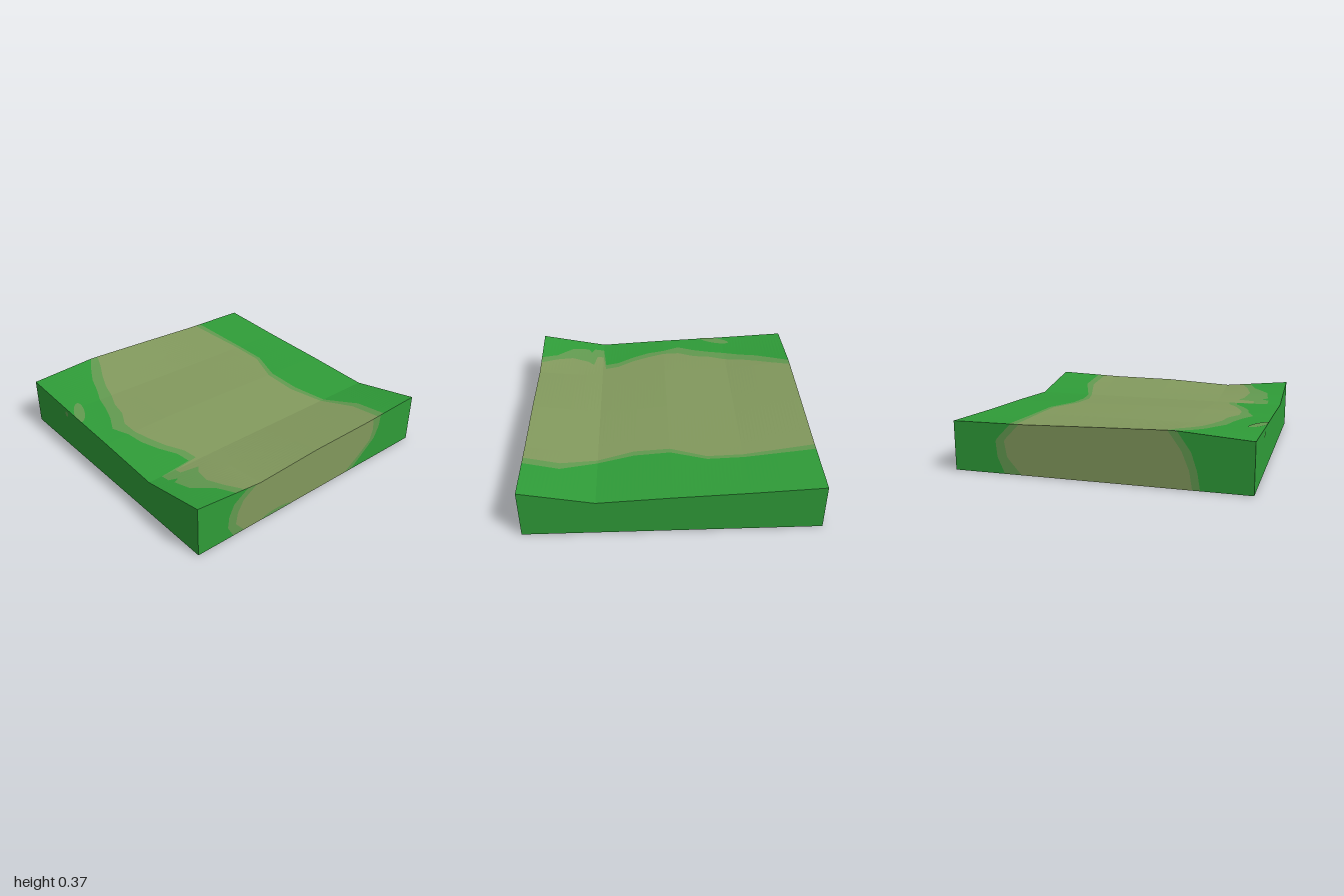
import * as THREE from 'three';

const mat = (name, color) => {
  const m = new THREE.MeshStandardMaterial({ color });
  m.name = name;
  return m;
};

// Terrain heights, rows from back (z = -1) to front (z = 1), columns from x = -1 to 1
const HEIGHTS = [
  [0.337, 0.372, 0.358, 0.342, 0.338],
  [0.31, 0.31, 0.308, 0.308, 0.31],
  [0.288, 0.303, 0.3, 0.293, 0.288],
  [0.26, 0.26, 0.26, 0.26, 0.26],
  [0.358, 0.31, 0.335, 0.34, 0.358],
];

// Linear interpolation through evenly spaced values, t from 0 to 1
function sample(values, t) {
  const s = t * (values.length - 1);
  const i = Math.min(values.length - 2, Math.floor(s));
  return THREE.MathUtils.lerp(values[i], values[i + 1], s - i);
}

const height = (x, z) => sample(HEIGHTS.map((row) => sample(row, (x + 1) / 2)), (z + 1) / 2);

// Path edges, evenly spaced: outer left, inner left, inner right, outer right
const TOP = [
  [-0.51, -0.585, -0.65, -0.69, -0.74, -0.77, -0.81, -0.87, -0.82, -0.8, -0.75, -0.68, -0.66, -0.89, -0.87, -0.75, -0.7],
  [-0.45, -0.5, -0.56, -0.61, -0.64, -0.69, -0.71, -0.77, -0.77, -0.735, -0.69, -0.62, -0.6, -0.7, -0.73, -0.69, -0.63],
  [0.55, 0.575, 0.6, 0.6, 0.5, 0.5, 0.57, 0.64, 0.62],
  [0.6, 0.615, 0.63, 0.63, 0.54, 0.545, 0.6, 0.7, 0.68],
];
const FRONT = [
  [-0.72, -0.765, -0.755, -0.715, -0.6],
  [-0.63, -0.7, -0.685, -0.64, -0.53],
  [0.31, 0.44, 0.555, 0.58, 0.57],
  [0.38, 0.49, 0.6, 0.64, 0.65],
];
const BACK = [
  [-0.67, -0.65, -0.61, -0.52],
  [-0.62, -0.6, -0.55, -0.46],
  [0.52, 0.62, 0.64, 0.53],
  [0.64, 0.69, 0.7, 0.59],
];

const edgesOf = (curves) => (t) => curves.map((c) => sample(c, t));

// Ground edges, with a short tongue of path just past the front crease
function groundEdges(z) {
  const e = edgesOf(TOP)((z + 1) / 2);
  if (z > 0.49 && z < 0.58) e[0] = -0.9;
  if (z > 0.49 && z < 0.56) e[1] = -0.79;
  return e;
}

function facets(name, quads, material) {
  const pos = quads.flatMap(([a, b, c, d]) => [a, b, c, a, c, d].flat());
  const g = new THREE.BufferGeometry();
  g.setAttribute('position', new THREE.Float32BufferAttribute(pos, 3));
  g.computeVertexNormals();
  const m = new THREE.Mesh(g, material);
  m.name = name;
  return m;
}

// A face split across x into grass, verge and path
function stripedFace(name, edgesAt, rows, point, mats) {
  const kinds = ['grass', 'verge', 'path', 'path', 'path', 'path', 'verge', 'grass'];
  const quads = { grass: [], verge: [], path: [] };
  const columns = (v) => {
    const [lo, li, ri, ro] = edgesAt(v);
    return [-1, lo, li, Math.max(li, -0.5), 0, Math.min(ri, 0.5), ri, ro, 1];
  };
  for (let r = 0; r < rows.length - 1; r++) {
    const v0 = rows[r], v1 = rows[r + 1], a = columns(v0), b = columns(v1);
    kinds.forEach((k, i) => quads[k].push(
      [point(a[i], v0), point(b[i], v1), point(b[i + 1], v1), point(a[i + 1], v0)]));
  }
  const group = new THREE.Group();
  group.name = name;
  for (const k in quads) group.add(facets(`${name} ${k}`, quads[k], mats[k]));
  return group;
}

const steps = (a, b, n) => Array.from({ length: n + 1 }, (_, i) => a + (b - a) * i / n);

export function createModel() {
  const mats = {
    grass: mat('grass green', 0x2f9c38),
    verge: mat('verge olive green', 0x629a50),
    path: mat('path khaki', 0x82995d),
  };
  const model = new THREE.Group();
  model.name = 'terrainTile';

  // Top ground and the two walls that the path cuts through
  model.add(stripedFace('ground', groundEdges, steps(-1, 1, 80), (x, z) => [x, height(x, z), z], mats));
  model.add(stripedFace('frontWall', edgesOf(FRONT), steps(1, 0, 20), (x, t) => [x, t * height(x, 1), 1], mats));
  model.add(stripedFace('backWall', edgesOf(BACK), steps(0, 1, 20), (x, t) => [x, t * height(x, -1), -1], mats));

  // Plain side walls
  for (const s of [-1, 1]) {
    const quads = steps(-1, 0.5, 3).map((z) => {
      const [z0, z1] = s > 0 ? [z + 0.5, z] : [z, z + 0.5];
      return [[s, 0, z0], [s, 0, z1], [s, height(s, z1), z1], [s, height(s, z0), z0]];
    });
    model.add(facets(s > 0 ? 'leftWall' : 'rightWall', quads, mats.grass));
  }

  // Underside
  model.add(facets('underside', [[[-1, 0, -1], [1, 0, -1], [1, 0, 1], [-1, 0, 1]]], mats.grass));

  // Low verge patch at the foot of the front wall
  const foot = new THREE.Mesh(new THREE.CircleGeometry(1, 20, 0, Math.PI), mats.verge);
  foot.name = 'footPatch';
  foot.scale.set(0.13, 0.028, 1);
  foot.position.set(-0.35, 0, 1.001);
  model.add(foot);

  // Small worn patch draped over the grass
  const worn = new THREE.CircleGeometry(1, 24);
  worn.rotateX(-Math.PI / 2).scale(0.038, 1, 0.125).rotateY(-0.42).translate(-0.95, 0, -0.44);
  const p = worn.attributes.position;
  for (let i = 0; i < p.count; i++) {
    const x = Math.max(-1, p.getX(i));
    p.setX(i, x);
    p.setY(i, height(x, p.getZ(i)) + 0.003);
  }
  worn.computeVertexNormals();
  const patch = new THREE.Mesh(worn, mats.verge);
  patch.name = 'wornPatch';
  model.add(patch);

  // Tiny fleck on the side wall
  const fleck = new THREE.Mesh(new THREE.CircleGeometry(0.02, 12), mats.verge);
  fleck.name = 'wallFleck';
  fleck.rotation.y = -Math.PI / 2;
  fleck.position.set(-1.001, 0.27, -0.54);
  model.add(fleck);
  return model;
}
